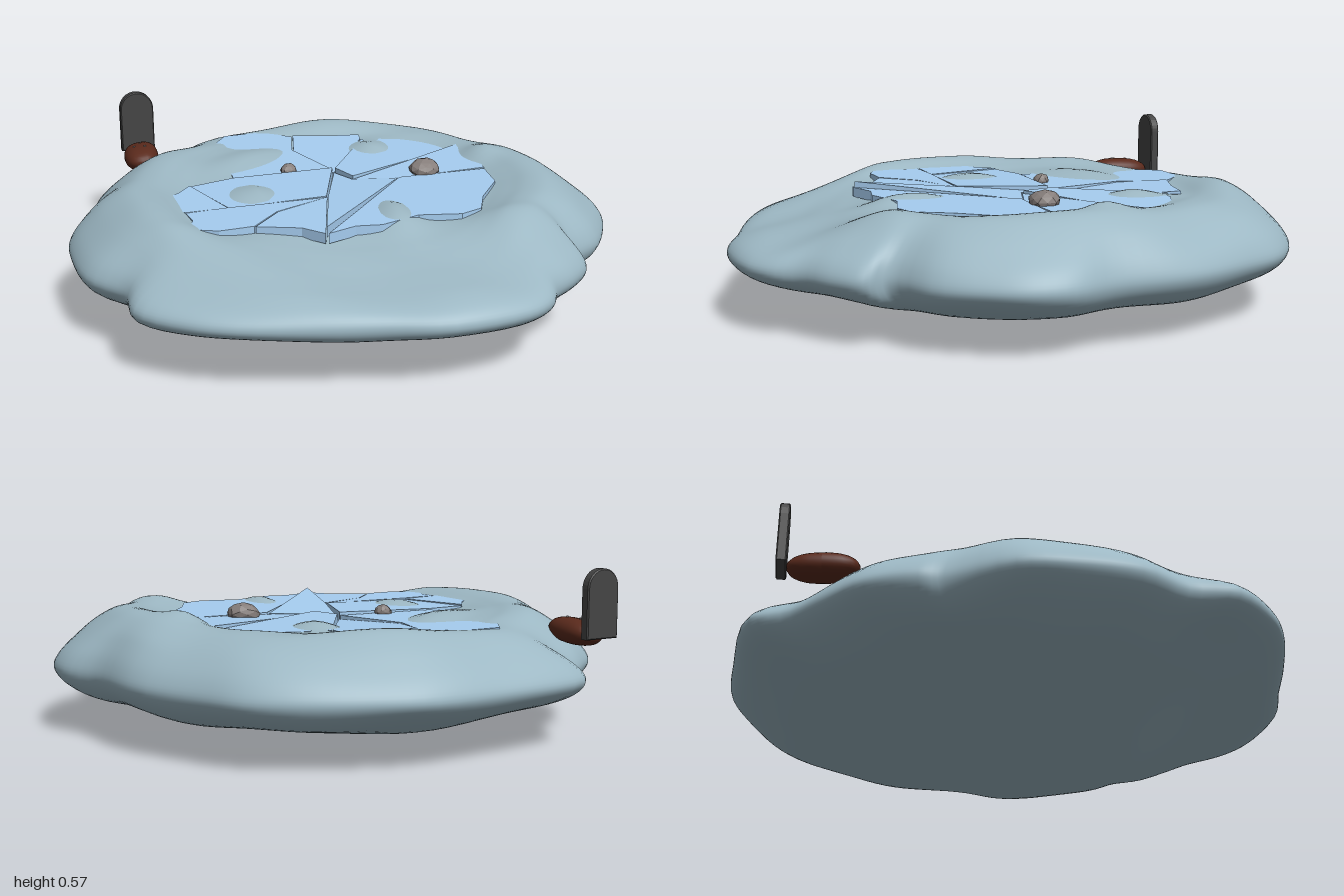
import * as THREE from 'three';

const mat = (color, extra = {}) => new THREE.MeshStandardMaterial({ color, ...extra });

function add(parent, name, geometry, material, x = 0, y = 0, z = 0) {
  const mesh = new THREE.Mesh(geometry, material);
  mesh.name = name;
  mesh.position.set(x, y, z);
  parent.add(mesh);
  return mesh;
}

// Shoreline of the snowy mound, as x, z
const SHORE = [
  [0.965, 0.07], [0.93, 0.2], [0.85, 0.36], [0.72, 0.48], [0.745, 0.56], [0.68, 0.66], [0.59, 0.75],
  [0.54, 0.85], [0.44, 0.93], [0.2, 0.995], [0, 0.975], [-0.2, 0.96], [-0.45, 0.92], [-0.6, 0.86],
  [-0.75, 0.74], [-0.78, 0.58], [-0.9, 0.43], [-0.955, 0.22], [-0.965, 0.05], [-0.88, -0.17],
  [-0.89, -0.25], [-0.85, -0.42], [-0.75, -0.55], [-0.65, -0.68], [-0.6, -0.82], [-0.27, -0.94],
  [0, -1], [0.18, -0.98], [0.4, -0.92], [0.55, -0.83], [0.65, -0.7], [0.77, -0.52], [0.82, -0.4],
  [0.87, -0.2], [0.95, -0.06]];

// Cross-section from the underside to the basin: share of the shore radius, height
const MIDDLE = 0.22;
const SECTION = [
  [0, 0.05], [0.2, 0.05], [0.45, 0.058], [0.65, 0.075], [0.82, 0.095], [0.93, 0.135], [0.985, 0.18],
  [1, MIDDLE], [0.98, 0.268], [0.93, 0.322], [0.87, 0.367], [0.8, 0.4], [0.73, 0.403],
  [0.66, 0.386], [0.58, 0.366], [0.45, 0.357], [0.2, 0.355], [0, 0.355]];

// Humps and hollows of the upper ground: x, z, radius along x, radius along z, turn, height
const HUMPS = [
  [-0.31, -0.32, 0.26, 0.13, 0.75, 0.042], [0.18, -0.41, 0.1, 0.13, 0, 0.042],
  [-0.32, 0.1, 0.11, 0.15, 0, 0.042], [0.13, 0.35, 0.08, 0.16, 0, 0.042],
  [0.57, -0.22, 0.07, 0.08, 0, 0.03], [0.72, -0.15, 0.12, 0.25, 0, 0.028],
  [-0.33, -0.62, 0.2, 0.12, 0, -0.035], [-0.62, -0.6, 0.14, 0.16, 0, -0.03],
  [0.12, -0.62, 0.3, 0.07, 0, -0.012], [-0.5, 0.42, 0.13, 0.12, 0, -0.02],
  [0.65, -0.52, 0.2, 0.15, 0, -0.02], [0.1, -0.8, 0.3, 0.12, 0, 0.015],
  [-0.4, -0.8, 0.2, 0.12, 0, -0.015]];

function groundGeometry() {
  const around = 140, rings = 76;
  const curve = new THREE.CatmullRomCurve3(SHORE.map(([x, z]) => new THREE.Vector3(x, 0, z)), true);
  const shore = Array.from({ length: around }, (_, i) => curve.getPoint(i / around));
  // Averaged shoreline, so the inlets fade towards the middle
  const smooth = shore.map((_, i) => {
    const sum = new THREE.Vector3();
    for (let k = -9; k <= 9; k++) sum.add(shore[(i + k + around) % around]);
    return sum.divideScalar(19);
  });
  const section = new THREE.CatmullRomCurve3(SECTION.map(([s, y]) => new THREE.Vector3(s, y, 0)));
  const position = [], index = [];
  for (let j = 0; j <= rings; j++) {
    const { x: s, y: h } = section.getPoint(j / rings);
    for (let i = 0; i < around; i++) {
      const p = smooth[i].clone().lerp(shore[i], Math.min(1, s ** 6)).multiplyScalar(s);
      const x = p.x, z = p.z;
      const front = THREE.MathUtils.smoothstep(z, 0.42, 0.85);
      // Thinner at the front, above and below, with a round nose
      const d = h - MIDDLE;
      let y = MIDDLE + d / (1 + front * Math.abs(d) * (d > 0 ? 6.5 : 4.5));
      const away = Math.min(1, Math.abs(d) / 0.12);
      if (d > 0) {
        // The rim rolls, the basin has humps
        const rim = THREE.MathUtils.smoothstep(s, 0.6, 0.8);
        y += away * rim * (0.01 * Math.sin(6 * x + 1) * Math.cos(5 * z) + 0.006 * Math.sin(13 * x - 9 * z));
        for (const [hx, hz, rx, rz, turn, height] of HUMPS) {
          const dx = x - hx, dz = z - hz, c = Math.cos(turn), n = Math.sin(turn);
          y += away * height * Math.exp(-(((dx * c - dz * n) / rx) ** 2) - ((dx * n + dz * c) / rz) ** 2);
        }
      } else {
        // Lumpy underside, deepest just off the middle
        y += away * 0.012 * Math.sin(8 * x + 2 * z) * Math.cos(9 * z - 2 * x);
        y -= away * 0.045 * Math.exp(-(((x + 0.15) / 0.3) ** 2) - ((z - 0.14) / 0.33) ** 2);
      }
      position.push(x, Math.max(0, y), z);
      if (j < rings) {
        const a = j * around + i, b = j * around + (i + 1) % around;
        index.push(a, a + around, b, b, a + around, b + around);
      }
    }
  }
  const g = new THREE.BufferGeometry();
  g.setAttribute('position', new THREE.Float32BufferAttribute(position, 3));
  g.setIndex(index);
  g.computeVertexNormals();
  return g;
}

// Named crack junctions, as x, z
const J = {
  A: [-0.1, -0.62], B: [-0.12, -0.43], C: [0, -0.15], T: [0.17, -0.55], L: [-0.38, -0.1],
  D: [-0.07, 0.18], H: [-0.42, 0.24], I: [-0.57, 0.28], K: [-0.54, -0.03], E: [-0.26, 0.31],
  F: [-0.35, 0.45], G: [-0.13, 0.56], M: [0.05, -0.04], N: [0.56, -0.41], P: [0.22, -0.02],
  Q: [0.56, -0.08] };

// Ice plates: junctions, then outer corners, then tilt about x and z
const PLATES = [
  ['ABCL', [[-0.39, -0.25], [-0.42, -0.4], [-0.41, -0.58], [-0.37, -0.67], [-0.22, -0.7], [-0.14, -0.65]], 0.01, 0],
  ['TCBA', [[0.04, -0.6], [0.17, -0.6]], 0.05, 0],
  ['CT', [[0.19, -0.45], [0.24, -0.54], [0.42, -0.5], [0.57, -0.45], J.N, J.M], 0, -0.01],
  ['MNQP', [], 0.03, 0.02],
  ['PQ', [[0.56, 0.08], [0.47, 0.25], [0.43, 0.38], [0.35, 0.43], [0.2, 0.42], [0.06, 0.5], [-0.03, 0.5], J.G], 0, 0],
  ['CMPGD', [], -0.05, 0.01],
  ['GDEF', [[-0.2, 0.49]], 0, 0.01],
  ['DEF', [[-0.47, 0.48], [-0.57, 0.45], [-0.55, 0.36], J.I, J.H], 0, 0],
  ['LCDHK', [], 0.01, 0.02],
  ['KHI', [[-0.66, 0.15], [-0.58, 0.05]], 0, -0.02]];

function addIce(parent) {
  const ice = new THREE.Group();
  ice.name = 'crackedIce';
  parent.add(ice);
  const material = mat(0xa6cdf0, { flatShading: true });
  PLATES.forEach(([keys, outer, tiltX, tiltZ], i) => {
    const corners = [...keys].map((k) => J[k]).concat(outer);
    const cx = corners.reduce((t, c) => t + c[0], 0) / corners.length;
    const cz = corners.reduce((t, c) => t + c[1], 0) / corners.length;
    // Shrinking each plate slightly opens the cracks
    const shape = new THREE.Shape(corners.map(([x, z]) =>
      new THREE.Vector2((x - cx) * 0.98, (cz - z) * 0.98)));
    const g = new THREE.ExtrudeGeometry(shape, { depth: 0.035, bevelEnabled: false });
    g.rotateX(-Math.PI / 2);
    add(ice, 'icePlate' + (i + 1), g, material, cx, 0.348, cz).rotation.set(tiltX, 0, tiltZ);
  });
}

function rockGeometry(radius, squash) {
  const g = new THREE.IcosahedronGeometry(radius, 1);
  const p = g.attributes.position;
  for (let i = 0; i < p.count; i++) {
    const x = p.getX(i), y = p.getY(i), z = p.getZ(i);
    const k = 1 + 0.14 * Math.sin(2.5 * x / radius + 1) * Math.cos(3 * z / radius + y / radius);
    p.setXYZ(i, x * k, y * k * squash, z * k);
  }
  g.computeVertexNormals();
  return g;
}

// Rounded heap, fuller at the corners than an ellipsoid
function moundGeometry() {
  const g = new THREE.SphereGeometry(1, 24, 16);
  const p = g.attributes.position;
  const full = (v) => Math.sign(v) * Math.abs(v) ** 0.8;
  for (let i = 0; i < p.count; i++)
    p.setXYZ(i, full(p.getX(i)) * 0.066, p.getY(i) * 0.045, full(p.getZ(i)) * 0.118);
  g.computeVertexNormals();
  return g;
}

export function createModel() {
  const model = new THREE.Group();
  model.name = 'frozenPond';
  add(model, 'snowyGround', groundGeometry(), mat(0x9db8c4));
  addIce(model);

  // Loose rocks on the ice
  const rock = mat(0x857d7a, { flatShading: true });
  add(model, 'largeRock', rockGeometry(0.06, 0.6), rock, 0.325, 0.392, -0.075);
  add(model, 'smallRock', rockGeometry(0.032, 0.8), rock, -0.17, 0.385, -0.15);

  // Round-topped headstone
  const slab = new THREE.Shape();
  slab.moveTo(-0.062, 0);
  slab.lineTo(0.062, 0);
  slab.lineTo(0.062, 0.165);
  slab.absarc(0, 0.165, 0.062, 0, Math.PI, false);
  slab.closePath();
  const stone = new THREE.ExtrudeGeometry(slab, {
    depth: 0.026, bevelThickness: 0.004, bevelSize: 0.004, bevelSegments: 1, curveSegments: 8 });
  stone.translate(0, 0, -0.013);
  add(model, 'headstone', stone, mat(0x444444), -0.716, 0.34, -0.704).rotation.y = 0.18;

  // Earth mound in front of the headstone, with a few pebbles
  const grave = new THREE.Group();
  grave.name = 'grave';
  grave.position.set(-0.705, 0.345, -0.57);
  grave.rotation.set(-0.03, 0.06, 0.15);
  model.add(grave);
  add(grave, 'earthMound', moundGeometry(), mat(0x5a2a1c));
  for (const [x, z] of [[0.005, -0.03], [-0.02, 0.01], [0.02, 0.03]])
    add(grave, 'pebble', new THREE.IcosahedronGeometry(0.007, 0), rock, x, 0.041, z);
  return model;
}
